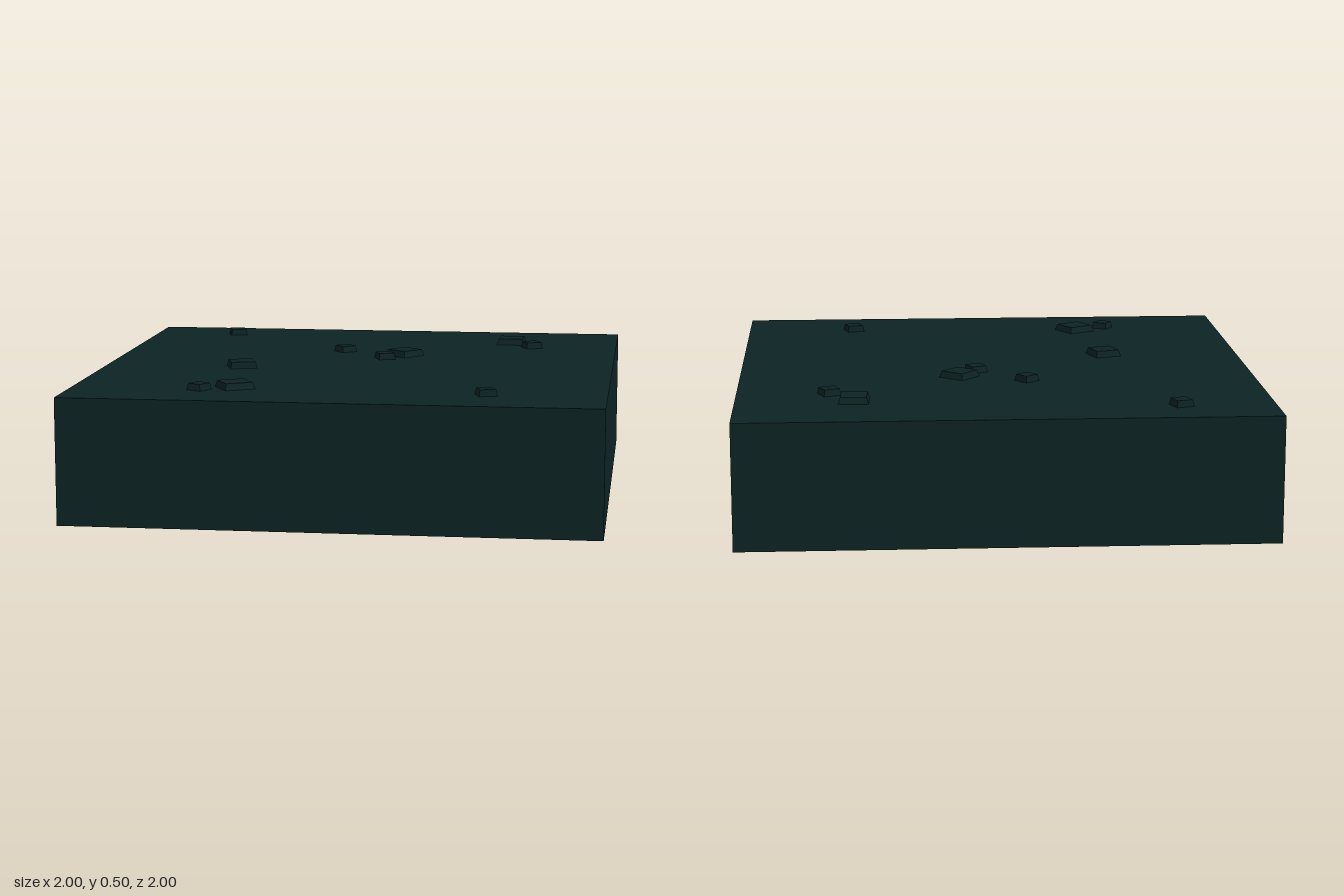
import * as THREE from 'three';

const SLAB_HEIGHT = 0.477;
const STUD_HEIGHT = 0.025;

// Raised studs: x, z, base side, turn in degrees
const STUDS = [
  [0.557, -0.657, 0.113, -3],
  [0.147, -0.243, 0.112, -40],
  [-0.457, 0.155, 0.108, 18],
  [-0.388, 0.687, 0.119, 30],
  [0.65, -0.535, 0.07, 23],
  [-0.11, -0.33, 0.068, 39],
  [0.077, -0.144, 0.07, 23],
  [-0.647, -0.8, 0.07, 18],
  [-0.513, 0.746, 0.066, -30],
  [0.556, 0.74, 0.07, 18],
];

export function createModel() {
  const group = new THREE.Group();
  group.name = 'studdedGroundBlock';
  const darkTeal = new THREE.MeshStandardMaterial({ color: 0x0d2324, flatShading: true });
  darkTeal.name = 'darkTeal';

  // Square ground slab
  const slab = new THREE.Mesh(new THREE.BoxGeometry(2, SLAB_HEIGHT, 2), darkTeal);
  slab.name = 'slab';
  slab.position.y = SLAB_HEIGHT / 2;
  group.add(slab);

  // Square frustum of unit base side, slightly tapered to the top
  const r = Math.SQRT1_2;
  const frustum = new THREE.CylinderGeometry(r * 0.87, r, 1, 4, 1).rotateY(Math.PI / 4);

  // Low tapered studs scattered over the top
  STUDS.forEach(([x, z, side, turn], i) => {
    const stud = new THREE.Mesh(frustum, darkTeal);
    stud.name = `stud${i + 1}`;
    stud.scale.set(side, STUD_HEIGHT, side);
    stud.rotation.y = THREE.MathUtils.degToRad(turn);
    stud.position.set(x, SLAB_HEIGHT + STUD_HEIGHT / 2, z);
    group.add(stud);
  });

  return group;
}
